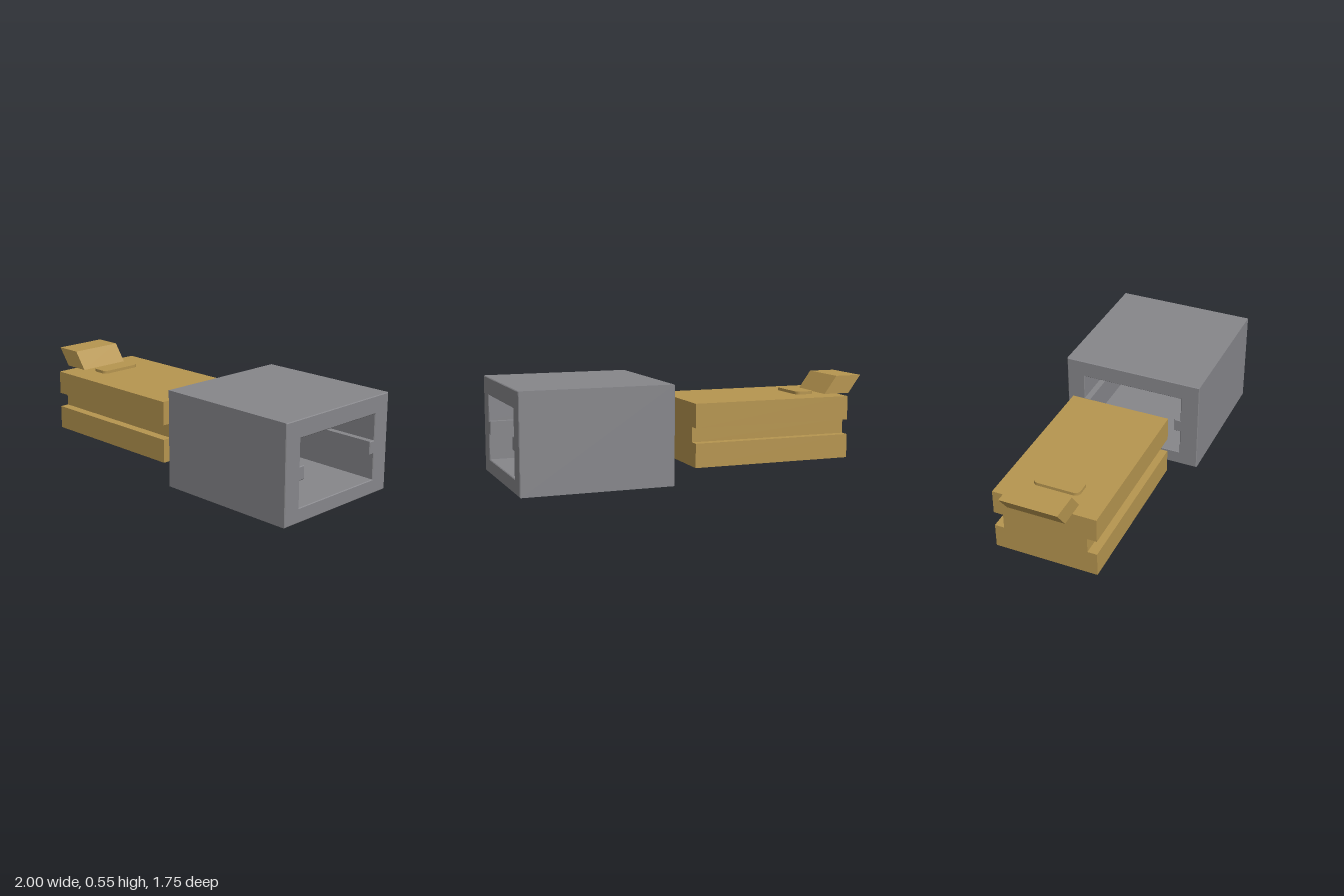
import * as THREE from 'three';

const grey = new THREE.MeshStandardMaterial({ color: 0x86868a });
grey.name = 'sleeveGrey';
const tan = new THREE.MeshStandardMaterial({ color: 0xb6954f });
tan.name = 'plugTan';

const polygon = (points, Type = THREE.Shape) =>
  new Type(points.map(([x, y]) => new THREE.Vector2(x, y)));

// Symmetric outline: the right half, listed bottom to top, is mirrored
const mirrored = (half) => [...half, ...half.map(([x, y]) => [-x, y]).reverse()];

// Extrude a cross-section along the x axis, from x0 to x1
function alongX(shape, x0, x1, bevel = 0) {
  const geometry = new THREE.ExtrudeGeometry(shape, {
    depth: x1 - x0 - 2 * bevel, bevelEnabled: bevel > 0, bevelSize: bevel,
    bevelThickness: bevel, bevelOffset: -bevel, bevelSegments: 1,
  });
  return geometry.translate(0, 0, x0 + bevel).rotateY(Math.PI / 2);
}

export function createModel() {
  const model = new THREE.Group();
  model.name = 'plugAndSleeve';
  const add = (name, geometry, material) => {
    const mesh = new THREE.Mesh(geometry, material);
    mesh.name = name;
    model.add(mesh);
  };

  // Square sleeve with a through opening and a rail on each inner wall
  const sleeve = polygon(mirrored([[0.404, 0], [0.404, 0.545]]));
  sleeve.holes.push(polygon(mirrored([
    [0.297, 0.08], [0.297, 0.225], [0.262, 0.225],
    [0.262, 0.3], [0.297, 0.3], [0.297, 0.447],
  ]), THREE.Path));
  add('sleeve', alongX(sleeve, 0.108, 0.952, 0.004), grey);

  // Plug block with a groove down each side
  const plug = polygon(mirrored([
    [0.288, 0.065], [0.288, 0.2], [0.235, 0.2],
    [0.235, 0.285], [0.288, 0.285], [0.288, 0.42],
  ]));
  add('plug', alongX(plug, -1.0, -0.06), tan);

  // Slanted latch overhanging the rear end
  const latch = polygon([[-1.08, 0.42], [-0.923, 0.42], [-0.998, 0.523], [-1.157, 0.523]]);
  add('latch', new THREE.ExtrudeGeometry(latch, { depth: 0.317, bevelEnabled: false })
    .translate(0, 0, -0.1585), tan);

  // Rounded thumb pad in front of the latch
  const w = 0.056, l = 0.13, r = 0.03;
  const pad = new THREE.Shape();
  pad.absarc(w - r, l - r, r, 0, Math.PI / 2);
  pad.absarc(r - w, l - r, r, Math.PI / 2, Math.PI);
  pad.absarc(r - w, r - l, r, Math.PI, Math.PI * 1.5);
  pad.absarc(w - r, r - l, r, Math.PI * 1.5, Math.PI * 2);
  add('thumbPad', new THREE.ExtrudeGeometry(pad, { depth: 0.02, bevelEnabled: false, curveSegments: 6 })
    .rotateX(-Math.PI / 2).translate(-0.812, 0.417, 0), tan);

  // Both pieces share one diagonal axis
  model.rotation.y = -THREE.MathUtils.degToRad(38.2);
  model.position.set(0.0025, 0, -0.033);
  const group = new THREE.Group();
  group.add(model);
  return group;
}
